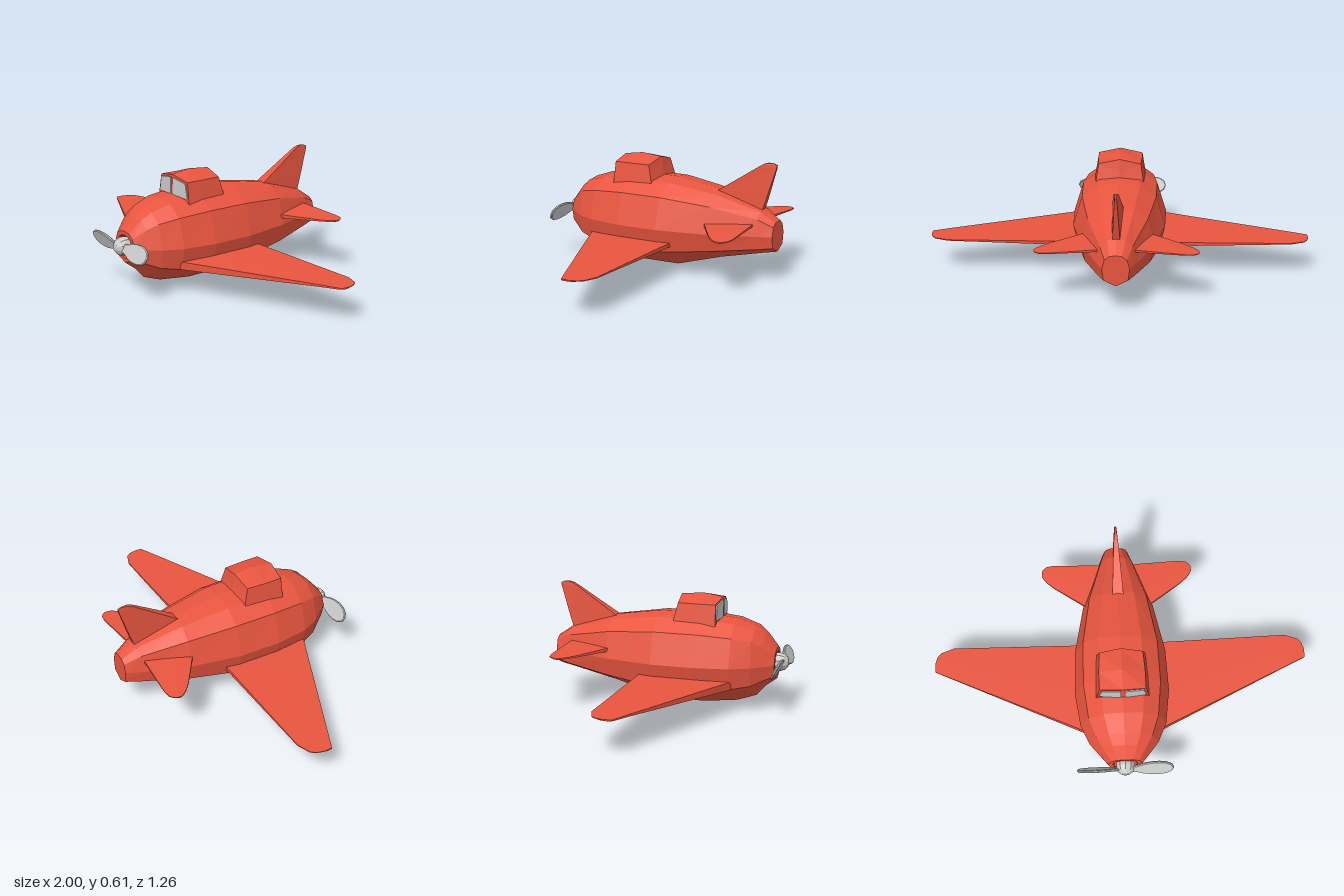
import * as THREE from 'three';

const red = new THREE.MeshStandardMaterial({ color: 0xe8553f, flatShading: true });
const grey = new THREE.MeshStandardMaterial({ color: 0xcccccc, flatShading: true });

// Closed solid through rings of [x, y, z] points; the ends are fanned to a centre point.
function loft(rings, startCentre, endCentre) {
  const mean = (r) => [0, 1, 2].map((k) => r.reduce((s, p) => s + p[k], 0) / r.length);
  const last = rings[rings.length - 1];
  const a = startCentre || mean(rings[0]);
  const b = endCentre || mean(last);
  const n = rings[0].length;
  let tris = [];
  for (let j = 0; j < n; j++) {
    const k = (j + 1) % n;
    tris.push([a, rings[0][k], rings[0][j]], [b, last[j], last[k]]);
    for (let i = 0; i + 1 < rings.length; i++) {
      const r = rings[i], s = rings[i + 1];
      tris.push([r[j], r[k], s[k]], [r[j], s[k], s[j]]);
    }
  }
  // turn every face outward by the sign of the enclosed volume
  const v = tris.map((t) => t.map((p) => new THREE.Vector3(...p)));
  const volume = v.reduce((s, [p, q, r]) => s + p.dot(q.clone().cross(r)), 0);
  if (volume < 0) tris = tris.map(([p, q, r]) => [p, r, q]);
  const geo = new THREE.BufferGeometry();
  geo.setAttribute('position', new THREE.Float32BufferAttribute(tris.flat(2), 3));
  geo.computeVertexNormals();
  return geo;
}

function add(parent, name, geo, mat) {
  const mesh = new THREE.Mesh(geo, mat);
  mesh.name = name;
  parent.add(mesh);
  return mesh;
}

// Ten-sided fuselage section with a V keel
function bodyRing([z, bottom, chine, top, w]) {
  const up = (f) => 0.25 + (top - 0.25) * f;
  const half = [[w * 0.88, chine], [w, 0.25], [w * 0.8, up(0.68)], [w * 0.45, up(0.94)]];
  return [
    [0, bottom, z],
    ...half.map(([x, y]) => [x, y, z]),
    [0, top, z],
    ...half.reverse().map(([x, y]) => [-x, y, z]),
  ];
}

// Airfoil section at span x: flat top, rounded belly
const foil = [[0, 0.1], [0.4, 0], [1, 0], [1, 0.35], [0.7, 0.9], [0.3, 1], [0, 0.75]];
const foilRing = ([x, lead, trail, yTop, t], side) =>
  foil.map(([f, h]) => [side * x, yTop - h * t, lead + (trail - lead) * f]);

export function createModel() {
  const plane = new THREE.Group();
  plane.name = 'airplane';

  // Fuselage: z, keel y, chine y, top y, half width
  const stations = [
    [0.57, 0.16, 0.19, 0.325, 0.09], [0.51, 0.115, 0.17, 0.395, 0.14],
    [0.46, 0.06, 0.15, 0.435, 0.18], [0.36, 0.025, 0.135, 0.468, 0.225],
    [0.18, 0.004, 0.125, 0.488, 0.25], [-0.05, 0.008, 0.125, 0.487, 0.243],
    [-0.31, 0.085, 0.155, 0.45, 0.19], [-0.55, 0.142, 0.18, 0.375, 0.1],
    [-0.63, 0.16, 0.19, 0.32, 0.068],
  ];
  // recessed nose opening
  const nose = bodyRing(stations[0]);
  const inset = (s, z) => nose.map(([x, y]) => [x * s, 0.247 + (y - 0.247) * s, z]);
  const rings = [inset(0.68, 0.535), inset(0.74, 0.57), ...stations.map(bodyRing)];
  add(plane, 'fuselage', loft(rings), red);

  // Canopy: half width, bottom and ridge vary along z; the centre line bulges outward
  const canopyRing = (zEdge, zMid, w, ridge, zRoof, zRidge) => [
    [0, 0.44, zMid], [w, 0.44, zEdge], [w * 0.86, 0.555, zRoof],
    [0, ridge, zRidge], [-w * 0.86, 0.555, zRoof], [-w, 0.44, zEdge],
  ];
  add(plane, 'canopy', loft([
    canopyRing(0.268, 0.281, 0.137, 0.577, 0.264, 0.276),
    canopyRing(0.17, 0.17, 0.137, 0.593, 0.17, 0.17),
    canopyRing(0.036, 0.024, 0.13, 0.582, 0.064, 0.054),
  ], [0, 0.51, 0.279], [0, 0.51, 0.04]), red);

  // Windscreen panes either side of the centre post
  const pane = [[0.01, 0.472], [0.123, 0.472], [0.107, 0.547], [0.01, 0.563]];
  for (const side of [1, -1]) {
    const layer = (off) => pane.map(([x, y]) => [side * x, y, 0.28 - x * 0.1 + off]);
    add(plane, side > 0 ? 'leftWindscreen' : 'rightWindscreen', loft([layer(-0.008), layer(0.003)]), grey);
  }

  // Wings and tailplanes: span x, leading z, trailing z, top y, thickness
  const wing = [
    [0.12, 0.405, -0.118, 0.184, 0.066], [0.23, 0.353, -0.12, 0.184, 0.062],
    [0.9, 0.047, -0.13, 0.19, 0.016], [0.97, 0.015, -0.105, 0.19, 0.012],
    [0.99, 0.006, -0.08, 0.19, 0.01], [1, 0, -0.045, 0.19, 0.008],
  ];
  const tailplane = [
    [0.04, -0.21, -0.53, 0.313, 0.036], [0.19, -0.31, -0.54, 0.305, 0.027],
    [0.34, -0.415, -0.55, 0.296, 0.014], [0.38, -0.45, -0.545, 0.294, 0.012],
    [0.4, -0.475, -0.53, 0.293, 0.01], [0.408, -0.49, -0.515, 0.292, 0.008],
  ];
  for (const side of [1, -1]) {
    const label = side > 0 ? 'left' : 'right';
    add(plane, label + 'Wing', loft(wing.map((s) => foilRing(s, side))), red);
    add(plane, label + 'Tailplane', loft(tailplane.map((s) => foilRing(s, side))), red);
  }

  // Tail fin: y, leading z, trailing z, half thickness
  const fin = [
    [0.34, -0.14, -0.54, 0.04], [0.45, -0.305, -0.575, 0.029], [0.59, -0.52, -0.617, 0.013],
    [0.606, -0.546, -0.619, 0.01], [0.614, -0.57, -0.6, 0.007],
  ];
  add(plane, 'tailFin', loft(fin.map(([y, lead, trail, t]) => [
    [t, y, lead], [t * 0.5, y, trail], [-t * 0.5, y, trail], [-t, y, lead],
  ])), red);

  // Propeller: spinner and two pitched blades
  const propeller = new THREE.Group();
  propeller.name = 'propeller';
  propeller.position.set(0, 0.25, 0);
  plane.add(propeller);
  const spinnerProfile = [[0, 0.53], [0.045, 0.53], [0.05, 0.585], [0.042, 0.61], [0.022, 0.627], [0, 0.631]];
  const spinner = new THREE.LatheGeometry(spinnerProfile.map(([r, y]) => new THREE.Vector2(r, y)), 10);
  add(propeller, 'spinner', spinner.rotateX(Math.PI / 2), grey);

  const outline = new THREE.Shape();
  outline.moveTo(0.02, -0.022);
  outline.lineTo(0.06, -0.026);
  outline.bezierCurveTo(0.12, -0.06, 0.25, -0.065, 0.252, 0);
  outline.bezierCurveTo(0.25, 0.065, 0.12, 0.06, 0.06, 0.026);
  outline.lineTo(0.02, 0.022);
  const blade = new THREE.ExtrudeGeometry(outline, {
    depth: 0.006, curveSegments: 6, bevelSize: 0.004, bevelThickness: 0.004, bevelOffset: -0.004, bevelSegments: 1,
  });
  blade.translate(0, 0, -0.003).rotateX(-0.42).translate(0, 0, 0.598);
  for (const turn of [0, Math.PI]) {
    add(propeller, 'blade', blade, grey).rotation.z = turn;
  }
  return plane;
}
